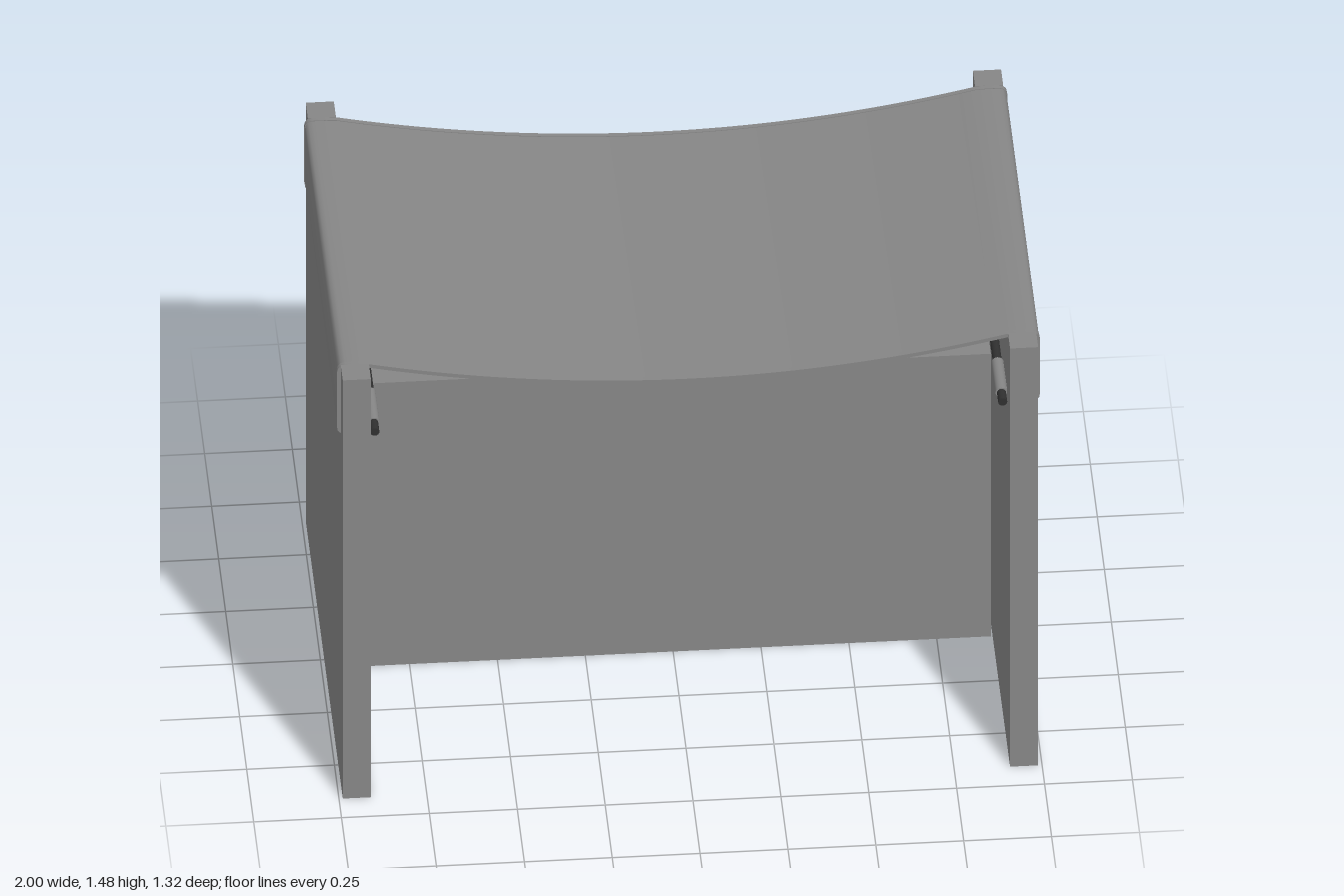
import * as THREE from 'three';
import { toCreasedNormals } from 'three/addons/utils/BufferGeometryUtils.js';

const grey = new THREE.MeshStandardMaterial({ color: 0x868686, side: THREE.DoubleSide });
const dark = new THREE.MeshStandardMaterial({ color: 0x303030 });
const INNER = 0.909, OUTER = 0.989, HEIGHT = 1.48, HALF_DEPTH = 0.66;
const CLOTH = 0.587; // half width of the sling
const ROD_X = 0.893, ROD_Y = 1.247;
const TABS = [[-0.555, -0.41], [-0.11, 0.11], [0.41, 0.555]]; // z ranges of the fabric loops

function add(group, name, geometry, material, x = 0, y = 0, z = 0) {
  const mesh = new THREE.Mesh(geometry, material);
  mesh.name = name;
  mesh.position.set(x, y, z);
  group.add(mesh);
}

// Strip of cloth: a centre line in x-y, thickened and extruded from z0 to z1
function strip(points, thickness, z0, z1) {
  const upper = [], lower = [];
  points.forEach((p, i) => {
    const a = points[Math.max(i - 1, 0)], b = points[Math.min(i + 1, points.length - 1)];
    const t = b.clone().sub(a).normalize();
    const n = new THREE.Vector2(-t.y, t.x).multiplyScalar(thickness / 2);
    upper.push(p.clone().add(n));
    lower.unshift(p.clone().sub(n));
  });
  const geometry = new THREE.ExtrudeGeometry(new THREE.Shape([...upper, ...lower]),
    { depth: z1 - z0, bevelEnabled: false });
  geometry.translate(0, 0, z0);
  return toCreasedNormals(geometry, 0.6);
}

// Side panel with a shallow notch on top for the cloth and slots for the loops
function sidePanelGeometry() {
  const d = HALF_DEPTH, notch = HEIGHT - 0.014;
  const shape = new THREE.Shape([
    [-d, 0], [d, 0], [d, HEIGHT], [CLOTH, HEIGHT], [CLOTH, notch],
    [-CLOTH, notch], [-CLOTH, HEIGHT], [-d, HEIGHT],
  ].map(([x, y]) => new THREE.Vector2(x, y)));
  for (const [a, b] of TABS) {
    shape.holes.push(new THREE.Path([[a, 1.241], [a, 1.257], [b, 1.257], [b, 1.241]]
      .map(([x, y]) => new THREE.Vector2(x, y))));
  }
  const geometry = new THREE.ExtrudeGeometry(shape, { depth: OUTER - INNER, bevelEnabled: false });
  geometry.translate(0, 0, -(OUTER - INNER) / 2);
  geometry.rotateY(Math.PI / 2);
  return geometry;
}

// Centre line of the sling: sagging seat, over the panel tops, down the outside
function slingLine() {
  const seat = [];
  for (let i = -24; i <= 24; i++) {
    const t = i / 24;
    seat.push(new THREE.Vector2(t * INNER, 1.367 + 0.105 * t * t));
  }
  const flap = [[0.94, 1.474], [0.975, 1.474], [0.986, 1.471], [0.992, 1.464], [0.994, 1.454],
    [0.994, 1.262], [0.992, 1.25], [0.986, 1.244]];
  const right = flap.map(([x, y]) => new THREE.Vector2(x, y));
  const left = flap.map(([x, y]) => new THREE.Vector2(-x, y)).reverse();
  return [...left, ...seat, ...right];
}

export function createModel() {
  const group = new THREE.Group();

  // Upright cross panel, with a hairline gap to each side
  add(group, 'centrePanel', new THREE.BoxGeometry(2 * INNER - 0.01, 1, 0.08), grey, 0, 0.5, 0);

  // Cloth seat with slightly thicker hems
  const line = slingLine();
  add(group, 'slingSeat', strip(line, 0.008, -CLOTH, CLOTH), grey);
  add(group, 'frontHem', strip(line, 0.012, CLOTH - 0.014, CLOTH), grey);
  add(group, 'backHem', strip(line, 0.012, -CLOTH, -CLOTH + 0.014), grey);

  for (const s of [-1, 1]) {
    const side = s > 0 ? 'left' : 'right';
    add(group, side + 'SidePanel', sidePanelGeometry(), grey, s * (INNER + OUTER) / 2);

    // Retaining rod held by the cloth loops
    const rod = new THREE.CylinderGeometry(0.013, 0.013, 1.2, 16).rotateX(Math.PI / 2);
    add(group, side + 'Rod', rod, dark, s * ROD_X, ROD_Y, 0);

    for (const [z0, z1] of TABS) {
      const mid = (z0 + z1) / 2, length = z1 - z0;
      add(group, side + 'Tab', new THREE.BoxGeometry(0.09, 0.008, length), grey,
        s * 0.945, 1.249, mid);
      const loop = new THREE.CylinderGeometry(0.017, 0.017, length, 20).rotateX(Math.PI / 2);
      add(group, side + 'Loop', loop, grey, s * ROD_X, ROD_Y, mid);
    }
  }
  return group;
}
